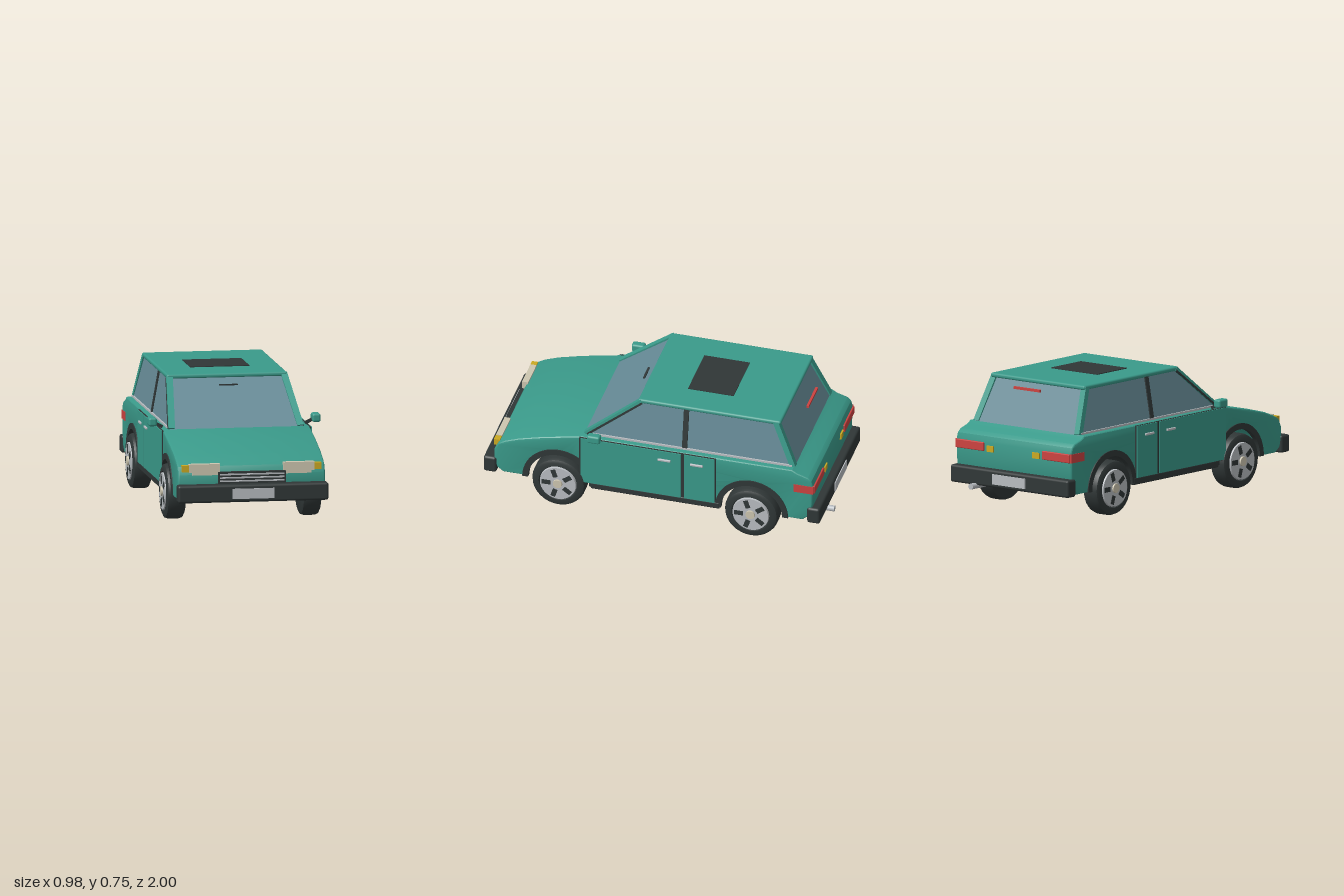
import * as THREE from 'three';
import { toCreasedNormals } from 'three/addons/utils/BufferGeometryUtils.js';
import { RoundedBoxGeometry } from 'three/addons/geometries/RoundedBoxGeometry.js';

const material = (name, color) => {
  const m = new THREE.MeshStandardMaterial({ color });
  m.name = name;
  return m;
};

export function createModel() {
  const car = new THREE.Group();
  car.name = 'car';
  const paint = material('teal paint', 0x3a9a8a);
  const glass = material('tinted glass', 0x668a96);
  const dark = material('black trim', 0x303737);
  dark.side = THREE.DoubleSide;
  const silver = material('silver', 0xb8bcc0);
  const cream = material('cream lens', 0xcdc6b0);
  const amber = material('amber lens', 0xcba922);
  const red = material('red lens', 0xcc4240);

  const add = (name, geometry, mat, x = 0, y = 0, z = 0, parent = car) => {
    const mesh = new THREE.Mesh(geometry, mat);
    mesh.name = name;
    mesh.position.set(x, y, z);
    parent.add(mesh);
    return mesh;
  };
  const box = (name, mat, w, h, d, x, y, z, parent) =>
    add(name, new THREE.BoxGeometry(w, h, d), mat, x, y, z, parent);
  const rounded = (name, mat, w, h, d, x, y, z, r = 0.01) =>
    add(name, new RoundedBoxGeometry(w, h, d, 2, r), mat, x, y, z);
  // Square bar from point a to point b
  const bar = (name, mat, w, d, a, b) => {
    const from = new THREE.Vector3(...a), to = new THREE.Vector3(...b);
    const dir = to.clone().sub(from);
    const mesh = box(name, mat, w, dir.length(), d, ...from.add(to).multiplyScalar(0.5).toArray());
    mesh.quaternion.setFromUnitVectors(new THREE.Vector3(0, 1, 0), dir.normalize());
    return mesh;
  };
  // Side profile (z, y) extruded across the width, centred on x = 0
  const acrossWidth = (shape, width, bevel = 0) => {
    const g = new THREE.ExtrudeGeometry(shape, {
      depth: width - 2 * bevel, curveSegments: 24, bevelEnabled: bevel > 0,
      bevelSize: bevel, bevelThickness: bevel, bevelOffset: -bevel, bevelSegments: 3,
    });
    g.translate(0, 0, bevel - width / 2);
    g.rotateY(-Math.PI / 2);
    return toCreasedNormals(g, 0.45);
  };

  const axleY = 0.155, frontZ = 0.555, rearZ = -0.565;

  // Lower body with full-width wheel arches
  const profile = new THREE.Shape();
  profile.moveTo(-0.86, 0.155);
  profile.lineTo(rearZ - 0.2, axleY);
  profile.absarc(rearZ, axleY, 0.2, Math.PI, 0, true);
  profile.lineTo(frontZ - 0.2, axleY);
  profile.absarc(frontZ, axleY, 0.2, Math.PI, 0, true);
  [[0.88, 0.155], [0.915, 0.18], [0.935, 0.23], [0.932, 0.30], [0.91, 0.345], [0.87, 0.368],
    [0.79, 0.398], [0.65, 0.435], [0.43, 0.481], [-0.8, 0.481], [-0.83, 0.463], [-0.89, 0.445],
    [-0.912, 0.425], [-0.922, 0.39], [-0.917, 0.25], [-0.895, 0.185]]
    .forEach(([z, y]) => profile.lineTo(z, y));
  profile.closePath();
  add('body', acrossWidth(profile, 0.836, 0.012), paint);

  // Dark liner in the rear wheel housing
  const liner = new THREE.CylinderGeometry(0.197, 0.197, 0.8, 24, 1, true, 0, Math.PI);
  liner.rotateZ(Math.PI / 2);
  liner.rotateX(0);
  const linerPos = liner.attributes.position;
  for (let i = 0; i < linerPos.count; i++) linerPos.setY(i, Math.abs(linerPos.getY(i)));
  liner.computeVertexNormals();
  add('rearWheelLiner', liner, dark, 0, axleY, rearZ);

  // Cabin glass: a box tapered toward the roof
  const cabin = new THREE.BoxGeometry(2, 1, 2);
  const p = cabin.attributes.position;
  for (let i = 0; i < p.count; i++) {
    const top = p.getY(i) > 0, front = p.getZ(i) > 0;
    p.setXYZ(i, p.getX(i) * (top ? 0.334 : 0.38), top ? 0.73 : 0.475,
      front ? (top ? 0.1 : 0.425) : (top ? -0.69 : -0.805));
  }
  cabin.computeVertexNormals();
  add('cabinGlass', cabin, glass);

  // Roof
  rounded('roof', paint, 0.684, 0.026, 0.83, 0, 0.731, -0.298, 0.011);
  box('sunroof', dark, 0.336, 0.006, 0.265, 0, 0.745, -0.258);
  box('frontGlassStrip', dark, 0.105, 0.007, 0.012, 0, 0.686, 0.163);
  box('highBrakeLight', red, 0.19, 0.014, 0.014, 0, 0.699, -0.8);

  // Bumpers and plates
  for (const s of [1, -1]) {
    const z = s > 0 ? 0.955 : -0.925;
    rounded(s > 0 ? 'frontBumper' : 'rearBumper', dark, 0.856, 0.1, 0.075, 0, 0.198, z, 0.014);
    box('plate', silver, 0.238, 0.058, 0.008, 0, 0.197, z + s * 0.039);
  }

  // Grille
  box('grille', dark, 0.384, 0.07, 0.03, 0, 0.28, 0.933);
  for (const y of [0.263, 0.282, 0.301]) box('grilleBar', silver, 0.364, 0.008, 0.008, 0, y, 0.95);

  // Exhaust
  const pipe = add('exhaust', new THREE.CylinderGeometry(0.017, 0.017, 0.16, 16), silver, 0.247, 0.145, -0.92);
  pipe.rotation.x = Math.PI / 2;

  // Parts repeated on both sides
  for (const s of [1, -1]) {
    // Lamps
    box('headlight', cream, 0.176, 0.048, 0.035, s * 0.268, 0.336, 0.92);
    box('headlightLower', cream, 0.16, 0.016, 0.02, s * 0.258, 0.305, 0.926);
    box('turnSignal', amber, 0.04, 0.038, 0.035, s * 0.376, 0.336, 0.922);
    rounded('tailLight', red, 0.2, 0.05, 0.03, s * 0.312, 0.366, -0.916, 0.005);
    box('tailLightSide', red, 0.014, 0.05, 0.115, s * 0.414, 0.366, -0.866);
    box('rearSignal', amber, 0.048, 0.034, 0.022, s * 0.166, 0.358, -0.919);

    // Cabin pillars and roof rail
    bar('frontPillar', paint, 0.036, 0.028, [s * 0.366, 0.478, 0.412], [s * 0.325, 0.73, 0.095]);
    bar('rearPillar', paint, 0.036, 0.032, [s * 0.366, 0.478, -0.795], [s * 0.325, 0.73, -0.685]);
    bar('middlePillar', dark, 0.014, 0.03, [s * 0.379, 0.478, -0.165], [s * 0.336, 0.722, -0.165]);
    bar('frontSeal', dark, 0.006, 0.012, [s * 0.384, 0.482, 0.4], [s * 0.342, 0.722, 0.093]);
    box('beltTrim', silver, 0.01, 0.012, 1.18, s * 0.381, 0.486, -0.2);

    // Doors, separated by dark seams
    box('doorSeams', dark, 0.008, 0.3, 0.794, s * 0.419, 0.328, 0.039);
    box('frontDoor', paint, 0.014, 0.294, 0.584, s * 0.422, 0.329, 0.136);
    box('rearDoor', paint, 0.014, 0.294, 0.178, s * 0.422, 0.329, -0.263);
    for (const z of [-0.06, -0.248]) rounded('doorHandle', silver, 0.012, 0.014, 0.075, s * 0.432, 0.42, z, 0.004);
    rounded('rocker', dark, 0.03, 0.042, 0.75, s * 0.411, 0.164, -0.005, 0.008);

    // Wing mirrors
    rounded('mirror', paint, 0.047, 0.048, 0.076, s * 0.465, 0.517, 0.338, 0.012);
    bar('mirrorArm', dark, 0.016, 0.02, [s * 0.405, 0.485, 0.335], [s * 0.45, 0.508, 0.335]);

    // Wheel arch trims and wheels
    for (const z of [frontZ, rearZ]) {
      const arch = new THREE.Shape();
      arch.absarc(z, axleY, 0.212, 0, Math.PI, false);
      arch.absarc(z, axleY, 0.178, Math.PI, 0, true);
      add('archTrim', acrossWidth(arch, 0.03), dark, s * 0.409);
      const wheel = makeWheel(add, box, dark, silver, cream);
      wheel.position.set(s * 0.385, axleY, z);
      wheel.rotation.y = s > 0 ? 0 : Math.PI;
      car.add(wheel);
    }
  }
  return car;
}

// Wheel with its axle on x and its outer face toward +x
function makeWheel(add, box, dark, silver, cream) {
  const wheel = new THREE.Group();
  wheel.name = 'wheel';
  const turned = (g) => g.rotateZ(-Math.PI / 2);
  const section = [[0, -0.054], [0.135, -0.054], [0.149, -0.047], [0.155, -0.03], [0.155, 0.03],
    [0.149, 0.047], [0.135, 0.054], [0.112, 0.055], [0.108, 0.046], [0, 0.046]]
    .map(([r, h]) => new THREE.Vector2(r, h));
  add('tyre', turned(toCreasedNormals(new THREE.LatheGeometry(section, 32), 0.6)), dark, 0, 0, 0, wheel);
  add('rim', turned(new THREE.CylinderGeometry(0.104, 0.107, 0.014, 32)), silver, 0.052, 0, 0, wheel);
  add('hub', turned(new THREE.CylinderGeometry(0.026, 0.028, 0.012, 16)), cream, 0.062, 0, 0, wheel);
  for (let i = 0; i < 5; i++) {
    const a = (i / 5) * Math.PI * 2;
    const slot = box('rimSlot', dark, 0.004, 0.028, 0.05, 0.0595, Math.sin(a) * 0.068, Math.cos(a) * 0.068, wheel);
    slot.rotation.x = -a;
  }
  return wheel;
}
